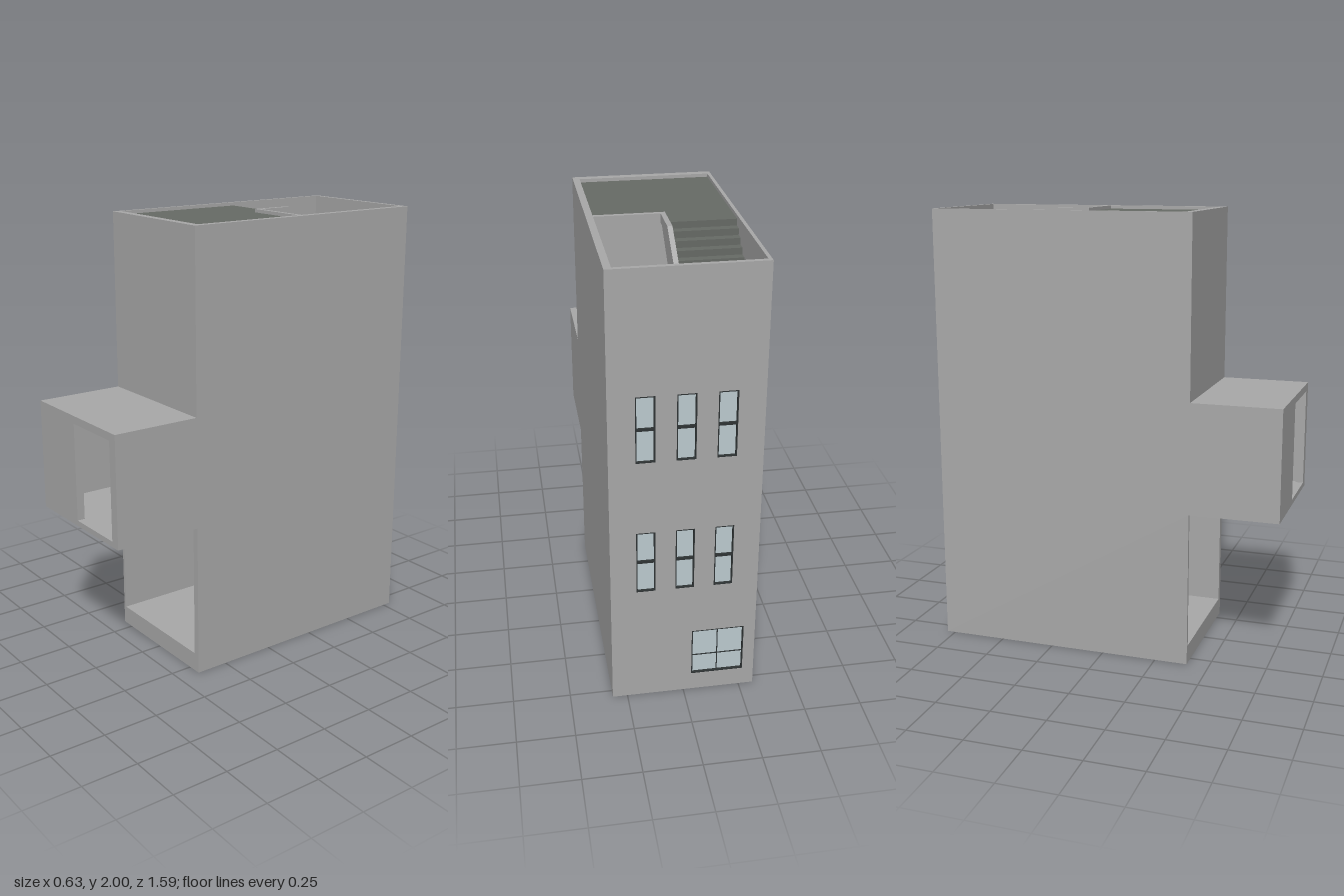
import * as THREE from 'three';

const paint = (name, color) => {
  const m = new THREE.MeshStandardMaterial({ color });
  m.name = name;
  return m;
};

export function createModel() {
  const wall = paint('wall grey', 0xa8a8a8);
  const tread = paint('dark floor', 0x666a65);
  const glass = paint('pale glass', 0xbccacf);
  const trim = paint('dark frame', 0x2e3334);
  const model = new THREE.Group();
  model.name = 'stairTower';

  const add = (name, geo, mat, parent = model) => {
    const mesh = new THREE.Mesh(geo, mat);
    mesh.name = name;
    parent.add(mesh);
    return mesh;
  };
  // box given by its two extreme corners
  const box = (name, x0, x1, y0, y1, z0, z1, mat = wall, parent = model) => {
    const g = new THREE.BoxGeometry(x1 - x0, y1 - y0, z1 - z0);
    g.translate((x0 + x1) / 2, (y0 + y1) / 2, (z0 + z1) / 2);
    return add(name, g, mat, parent);
  };
  // side profile of [z, y] points, extruded across x
  const prism = (name, pts, x0, x1, mat = wall, parent = model) => {
    const shape = new THREE.Shape(pts.map(p => new THREE.Vector2(p[0], p[1])));
    const g = new THREE.ExtrudeGeometry(shape, { depth: x1 - x0, bevelEnabled: false });
    g.rotateY(-Math.PI / 2).translate(x1, 0, 0);
    return add(name, g, mat, parent);
  };
  const rectPath = (P, x0, x1, y0, y1) => {
    const p = new P();
    p.moveTo(x0, y0); p.lineTo(x1, y0); p.lineTo(x1, y1); p.lineTo(x0, y1); p.closePath();
    return p;
  };

  const L = -0.30, R = 0.285;                 // inner faces of the side walls
  const floors = [0.085, 0.725, 1.365, 1.985];
  const backZ = -0.79, innerBack = -0.77, landZ = -0.585;

  // side walls with the projecting bay
  const side = [[backZ, 0], [0.4, 0], [0.4, 0.7], [0.8, 0.7], [0.8, 1.2], [0.4, 1.2], [0.4, 2], [backZ, 2]];
  prism('rightWall', side, -0.315, L);
  prism('leftWall', side, R, 0.315);

  // front wall, base and bay
  box('frontWall', L, R, 1.2, 2, 0.365, 0.4);
  box('base', L, R, 0, floors[0], innerBack, 0.4);
  box('bayRoof', L, R, 1.165, 1.2, 0.365, 0.8);
  box('bayFloor', L, R, 0.7, floors[1], 0.365, 0.8);
  box('bayFrontPanel', L, -0.02, floors[1], 1.165, 0.765, 0.8);
  box('bayFrontJamb', 0.27, R, floors[1], 1.165, 0.765, 0.8);

  // back wall with its window and door openings
  const openings = [{ x0: -0.265, x1: -0.035, y0: floors[0], y1: 0.32, name: 'backDoor' }];
  for (const y of [0.555, 1.18])
    for (const x of [-0.165, 0, 0.165])
      openings.push({ x0: x - 0.04, x1: x + 0.04, y0: y, y1: y + 0.295, name: 'window' });
  const back = rectPath(THREE.Shape, L, R, 0, 2);
  for (const o of openings) back.holes.push(rectPath(THREE.Path, o.x0, o.x1, o.y0, o.y1));
  const backGeo = new THREE.ExtrudeGeometry(back, { depth: innerBack - backZ, bevelEnabled: false });
  add('backWall', backGeo.translate(0, 0, backZ), wall);

  // frames, bars and panes
  for (const o of openings) {
    const g = new THREE.Group();
    g.name = o.name;
    model.add(g);
    const t = 0.005, z0 = backZ + 0.001, z1 = innerBack + 0.001;
    const frame = rectPath(THREE.Shape, o.x0, o.x1, o.y0, o.y1);
    frame.holes.push(rectPath(THREE.Path, o.x0 + t, o.x1 - t, o.y0 + t, o.y1 - t));
    const fg = new THREE.ExtrudeGeometry(frame, { depth: z1 - z0, bevelEnabled: false });
    add('frame', fg.translate(0, 0, z0), trim, g);
    box('pane', o.x0 + t, o.x1 - t, o.y0 + t, o.y1 - t, -0.777, -0.773, glass, g);
    const door = o.name === 'backDoor', b = door ? 0.002 : 0.006;
    const ym = door ? 0.18 : (o.y0 + o.y1) / 2, xm = (o.x0 + o.x1) / 2;
    box('crossBar', o.x0, o.x1, ym - b, ym + b, door ? -0.78 : -0.786, -0.771, trim, g);
    if (door) box('uprightBar', xm - b, xm + b, o.y0, o.y1, -0.78, -0.771, trim, g);
  }

  // upper floors, stopping at the stairwell
  floors.slice(1).forEach((y, i) => {
    const top = i === 2;
    box('floorSlabRight', L, 0, y - 0.025, y - 0.004, -0.215, 0.365);
    box('floorSlabLeft', 0, R, y - 0.025, y - 0.004, -0.175, 0.365);
    box('floorFinishRight', L, 0, y - 0.004, y, -0.215, 0.365, top ? tread : wall);
    box('floorFinishLeft', 0, R, y - 0.004, y, -0.175, 0.365, top ? tread : wall);
  });

  // one flight: stepped top over a sloping soffit
  const flight = (name, n, z0, z1, y0, y1, drop0, drop1, x0, x1) => {
    const g = new THREE.Group();
    g.name = name;
    model.add(g);
    const dz = (z1 - z0) / n, dy = (y1 - y0) / n;
    const pts = [[z0, y0 - drop0 * 0.5]];
    for (let i = 0; i < n; i++)
      pts.push([z0 + i * dz, y0 + (i + 1) * dy], [z0 + (i + 1) * dz, y0 + (i + 1) * dy]);
    pts.push([z1, y1 - drop1 * 0.5 - dy]);
    prism('steps', pts, x0, x1, tread, g);
    prism('soffit', [[z0, y0 - drop0], [z0, y0 - drop0 * 0.5], [z1, y1 - drop1 * 0.5 - dy], [z1, y1 - drop1 - dy]],
      x0, x1, wall, g);
  };

  for (let i = 0; i < 3; i++) {
    const f = floors[i], next = floors[i + 1], land = f + 0.335;
    flight('lowerFlight', 11, -0.175, landZ, f, land, 0.02, 0.03, 0.005, R);
    flight('upperFlight', 10, landZ, -0.215, land, next, 0.06, 0.02, L, -0.01);
    box('landing', L, R, land - 0.06, land - 0.004, innerBack, landZ);
    box('landingFinish', L, R, land - 0.004, land, innerBack, landZ, tread);

    // solid guards between the flights
    prism('lowerGuard', [[-0.17, f], [-0.17, f + 0.13], [-0.6, land + 0.12], [-0.6, land - 0.05], [-0.56, land - 0.05]],
      -0.014, 0.005);
    const top = i === 2
      ? [[-0.345, 2], [-0.165, 2]]
      : [[-0.2, next + 0.13], [-0.165, next + 0.13]];
    prism('upperGuard', [[-0.6, land - 0.05], [-0.6, land + 0.12], ...top, [-0.165, next - 0.025], [-0.215, next - 0.025]],
      -0.015, 0.006);
  }

  // curb around the roof stairwell and the guard's end post
  box('roofCurb', -0.015, R, 1.96, 2, -0.18, -0.16);
  box('guardPost', -0.018, 0.01, 1.7, 1.83, -0.6, -0.575);

  return model;
}
